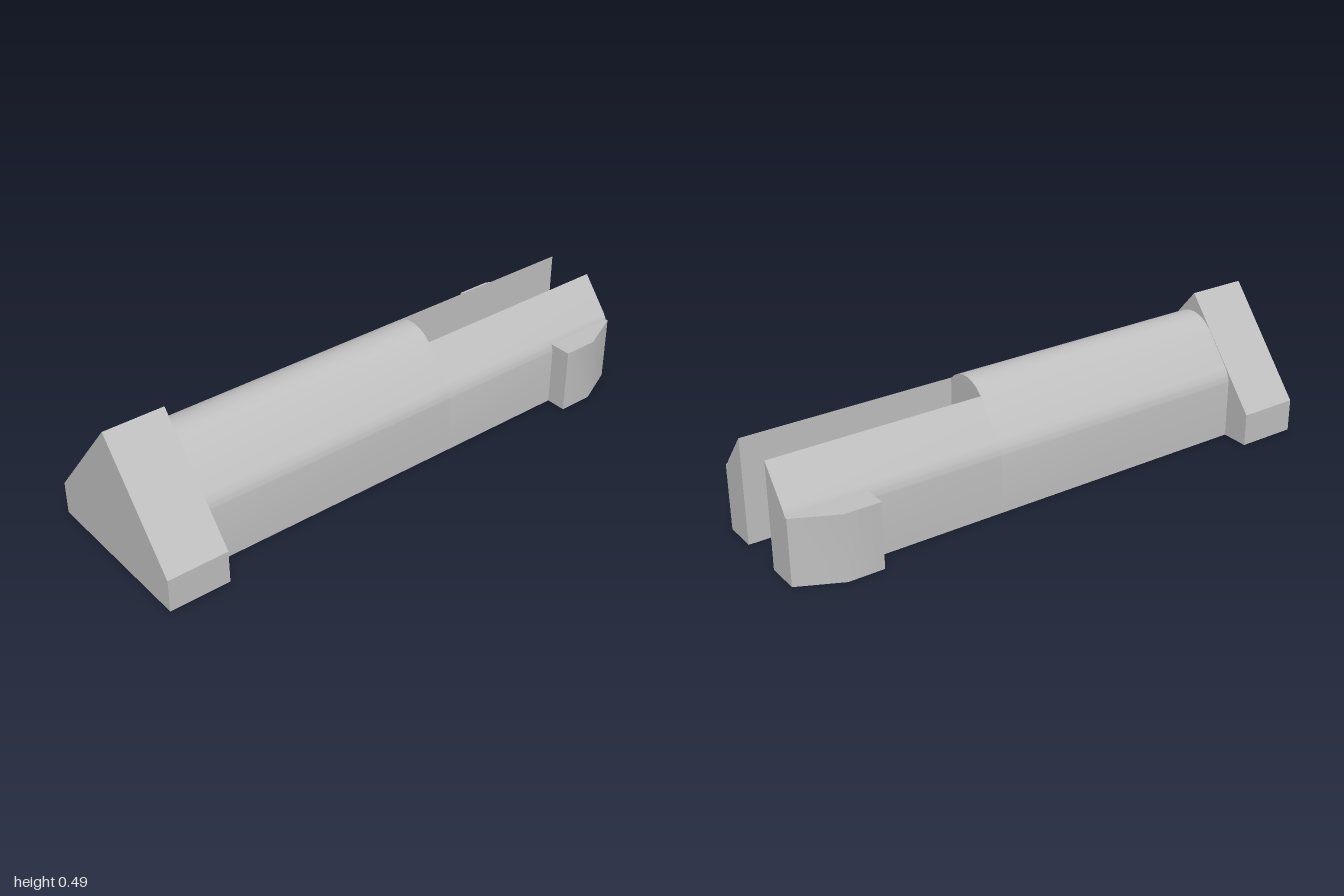
import * as THREE from 'three';
import { toCreasedNormals } from 'three/addons/utils/BufferGeometryUtils.js';

const SLOT = 0.09;   // half width of the slot between the prongs
const SIDE = 0.21;   // half width of the shaft

export function createModel() {
  const group = new THREE.Group();
  const grey = new THREE.MeshStandardMaterial({ color: 0xc0c0c0 });
  grey.name = 'light grey';

  function add(name, geometry) {
    const mesh = new THREE.Mesh(toCreasedNormals(geometry, 0.5), grey);
    mesh.name = name;
    group.add(mesh);
  }
  const extrude = (points, depth) => new THREE.ExtrudeGeometry(
    new THREE.Shape(points), { depth, bevelEnabled: false });

  // Cross-section points are (z, y); the section runs along x.
  function addAlongX(name, section, x0, x1) {
    const points = section.map(p => new THREE.Vector2(-p.x, p.y));
    add(name, extrude(points, x1 - x0).rotateY(Math.PI / 2).translate(x0, 0, 0));
  }
  const V = (x, y) => new THREE.Vector2(x, y);
  const mirror = pts => pts.map(p => V(-p.x, p.y)).reverse();

  // Gabled head
  addAlongX('head', [V(-0.313, 0), V(0.313, 0), V(0.313, 0.12), V(0, 0.493), V(-0.313, 0.12)], -1, -0.78);

  // Outer flank: straight side, soft shoulder, sloping roof
  const shoulder = new THREE.QuadraticBezierCurve(V(SIDE, 0.212), V(0.207, 0.238), V(0.19, 0.262));
  const flank = [V(SIDE, 0), ...shoulder.getPoints(6), V(SLOT, 0.384)];

  // Rounded ridge
  const ridge = [];
  const end = Math.asin(SLOT / 0.118);
  for (let i = 1; i < 20; i++) {
    const a = end * (1 - i / 10);
    ridge.push(V(0.118 * Math.sin(a), 0.305 + 0.118 * Math.cos(a)));
  }
  addAlongX('shaft', [...flank, ...ridge, ...mirror(flank)], -0.78, 0.22);

  for (const s of [1, -1]) {
    const side = s > 0 ? 'front' : 'back';
    // Prong beside the open slot
    const prong = [V(SLOT, 0), ...flank];
    addAlongX(side + 'Prong', s > 0 ? prong : mirror(prong), 0.22, 1);

    // Wedge-shaped catch on the prong, drawn in plan
    const plan = [[0.715, 0.2], [0.715, 0.286], [0.845, 0.286], [1, 0.212], [1, 0.2]];
    add(side + 'Catch', extrude(plan.map(([x, z]) => V(x, -s * z)), 0.24).rotateX(-Math.PI / 2));
  }
  return group;
}
